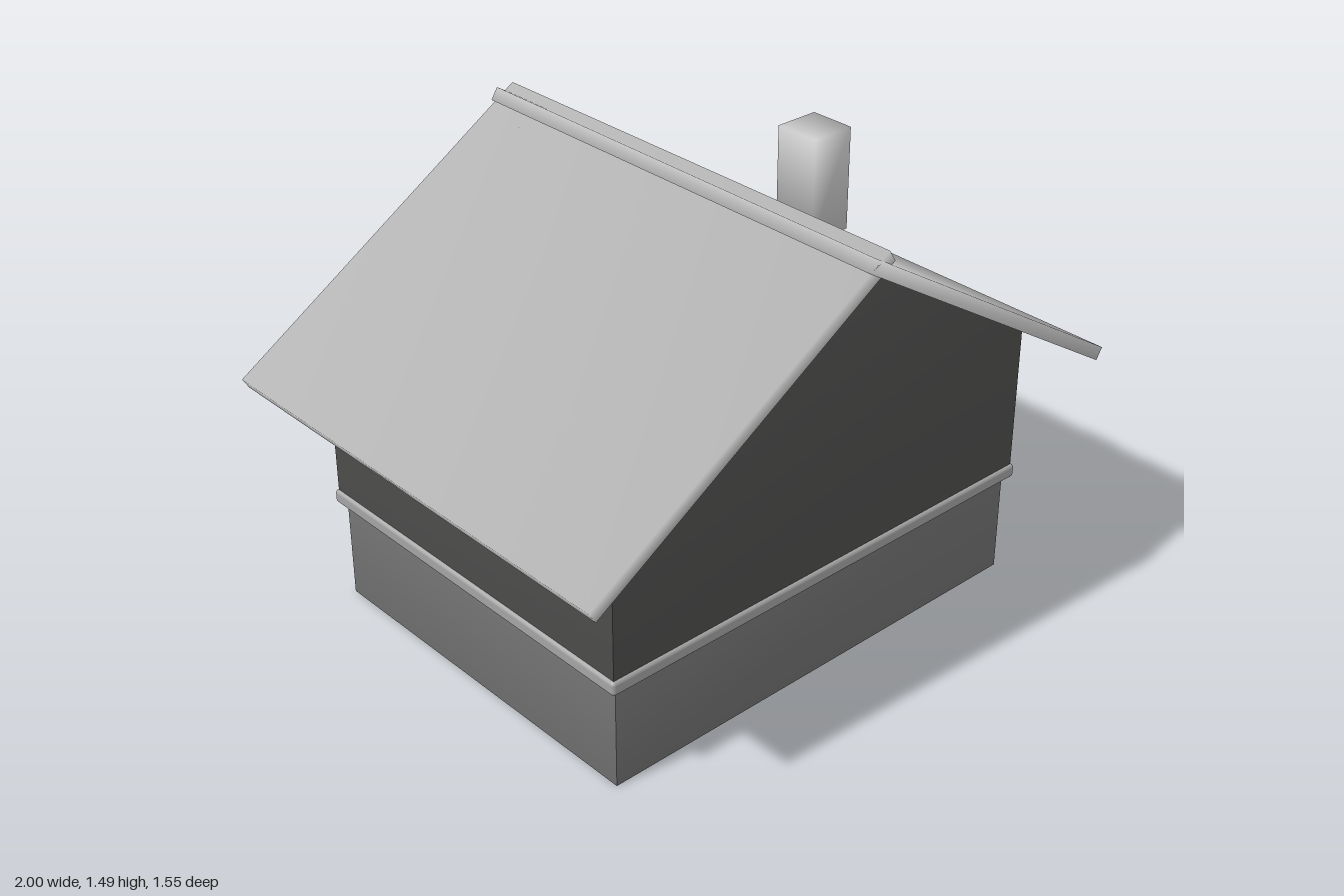
import * as THREE from 'three';
import { RoundedBoxGeometry } from 'three/addons/geometries/RoundedBoxGeometry.js';

const paint = (color) => new THREE.MeshStandardMaterial({ color });
const grey = paint(0xcccccc);
const bandGrey = paint(0xa4a4a4);
const frameGrey = paint(0x80807f);
const baseGrey = paint(0x727272);
const wallGrey = paint(0x50504f);

function addMesh(parent, name, geometry, material, x = 0, y = 0, z = 0) {
  const mesh = new THREE.Mesh(geometry, material);
  mesh.name = name;
  mesh.position.set(x, y, z);
  parent.add(mesh);
  return mesh;
}

// Turn the normals towards the corners, so that faces shade smoothly into each other
function soften(geometry, amount) {
  geometry.computeBoundingBox();
  const centre = geometry.boundingBox.getCenter(new THREE.Vector3());
  const size = geometry.boundingBox.getSize(new THREE.Vector3());
  const { position, normal } = geometry.attributes;
  const n = new THREE.Vector3(), corner = new THREE.Vector3();
  for (let i = 0; i < position.count; i++) {
    corner.fromBufferAttribute(position, i).sub(centre).divide(size).normalize();
    n.fromBufferAttribute(normal, i).lerp(corner, amount).normalize();
    normal.setXYZ(i, n.x, n.y, n.z);
  }
  return geometry;
}

// Bevelled rectangular frame in the xy plane, its back on z = 0
function frameGeometry(w, h, border, depth) {
  const bevel = 0.005;
  const a = w / 2 - bevel, b = h / 2 - bevel;
  const c = w / 2 - border + bevel, d = h / 2 - border + bevel;
  const shape = new THREE.Shape([
    new THREE.Vector2(-a, -b), new THREE.Vector2(a, -b),
    new THREE.Vector2(a, b), new THREE.Vector2(-a, b),
  ]);
  shape.holes.push(new THREE.Path([
    new THREE.Vector2(-c, -d), new THREE.Vector2(-c, d),
    new THREE.Vector2(c, d), new THREE.Vector2(c, -d),
  ]));
  return new THREE.ExtrudeGeometry(shape, {
    depth: depth - 2 * bevel, bevelEnabled: true,
    bevelSize: bevel, bevelThickness: bevel, bevelSegments: 2,
  }).translate(0, 0, bevel);
}

export function createModel() {
  const house = new THREE.Group();
  house.name = 'house';

  // Base and the band between the storeys
  addMesh(house, 'base', soften(new THREE.BoxGeometry(1.565, 0.345, 1.23), 0.2),
    baseGrey, 0, 0.1725, 0);
  addMesh(house, 'storeyBand', new RoundedBoxGeometry(1.62, 0.045, 1.28, 3, 0.012),
    bandGrey, 0, 0.35, 0);

  // Upper storey with gables reaching the underside of the roof
  const gable = new THREE.Shape([
    new THREE.Vector2(-0.8, 0.345), new THREE.Vector2(0.8, 0.345),
    new THREE.Vector2(0.8, 0.85), new THREE.Vector2(0, 1.35),
    new THREE.Vector2(-0.8, 0.85),
  ]);
  const walls = new THREE.ExtrudeGeometry(gable, { depth: 1.26, bevelEnabled: false });
  addMesh(house, 'upperWalls', soften(walls.translate(0, 0, -0.63), 0.25), wallGrey);

  // Roof slabs that cross each other at the ridge
  const top = new THREE.Vector2(-0.03, 1.408), eave = new THREE.Vector2(1.0, 0.765);
  const run = eave.clone().sub(top);
  const pitch = Math.atan2(run.y, run.x), thickness = 0.042;
  const cx = (top.x + eave.x) / 2 + Math.sin(pitch) * thickness / 2;
  const cy = (top.y + eave.y) / 2 - Math.cos(pitch) * thickness / 2;
  for (const side of [1, -1]) {
    const slab = addMesh(house, side > 0 ? 'leftRoofSlab' : 'rightRoofSlab',
      soften(new THREE.BoxGeometry(run.length(), thickness, 1.555), 1), grey, side * cx, cy, 0);
    slab.rotation.z = side * pitch;
  }

  addMesh(house, 'chimney', soften(new THREE.BoxGeometry(0.142, 0.315, 0.144), 1),
    grey, 0.335, 1.3275, 0.202);

  // Window frames: one on each side wall, four on the back
  for (const side of [1, -1]) {
    const frame = addMesh(house, side > 0 ? 'leftWindowFrame' : 'rightWindowFrame',
      frameGeometry(0.157, 0.205, 0.015, 0.03), frameGrey, side * 0.797, 0.68, 0);
    frame.rotation.y = side * Math.PI / 2;

    const upper = addMesh(house, 'backUpperWindowFrame',
      frameGeometry(0.18, 0.235, 0.016, 0.035), frameGrey, side * 0.235, 0.733, -0.627);
    upper.rotation.y = Math.PI;
    addMesh(house, 'backWindowSill', new RoundedBoxGeometry(0.21, 0.037, 0.056, 3, 0.012),
      frameGrey, side * 0.235, 0.573, -0.657);

    const lower = addMesh(house, 'backLowerWindowFrame',
      frameGeometry(0.16, 0.19, 0.015, 0.032), frameGrey, side * 0.47, 0.21, -0.612);
    lower.rotation.y = Math.PI;
  }

  return house;
}
